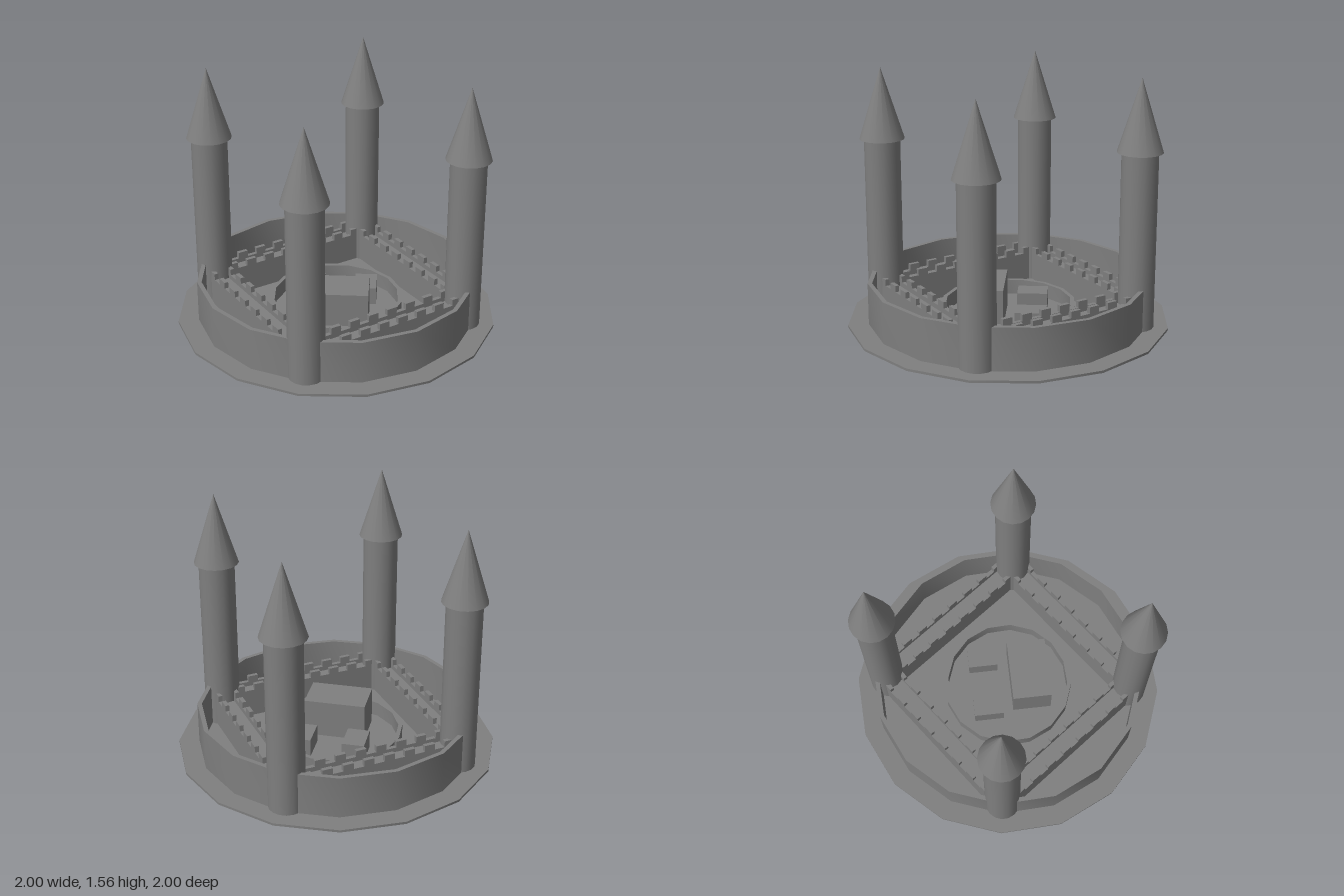
import * as THREE from 'three';
import { toCreasedNormals } from 'three/addons/utils/BufferGeometryUtils.js';

const SIDES = 16;
const FLOOR = 0.015;
const TOWER = 0.565; // offset of towers and wall lines from the centre

export function createModel() {
  const castle = new THREE.Group();
  castle.name = 'castle';
  const material = new THREE.MeshStandardMaterial({ color: 0x7f7f7f });

  const add = (parent, name, geometry, x = 0, y = 0, z = 0) => {
    const mesh = new THREE.Mesh(geometry, material);
    mesh.name = name;
    mesh.position.set(x, y, z);
    parent.add(mesh);
    return mesh;
  };

  // Hollow ring wall, softly rounded round its girth with crisp rims
  const ring = (outer, inner, top) => {
    const profile = [[outer, 0], [outer, top], [inner, top], [inner, 0]]
      .map(([r, y]) => new THREE.Vector2(r, y));
    return toCreasedNormals(new THREE.LatheGeometry(profile, SIDES), 0.6);
  };

  // Ground plate and the two ring walls
  add(castle, 'ground', new THREE.CylinderGeometry(1, 1, FLOOR, SIDES), 0, FLOOR / 2, 0);
  add(castle, 'outerWall', ring(0.873, 0.845, 0.28));
  add(castle, 'courtyardWall', ring(0.42, 0.394, 0.11));

  // Corner towers with pointed roofs
  const shaft = new THREE.CylinderGeometry(0.112, 0.112, 1.115, SIDES);
  const roof = new THREE.ConeGeometry(0.14, 0.445, SIDES);
  for (const sx of [-1, 1]) {
    for (const sz of [-1, 1]) {
      const tower = new THREE.Group();
      tower.name = 'tower';
      tower.position.set(sx * TOWER, 0, sz * TOWER);
      add(tower, 'towerShaft', shaft, 0, 0.5575, 0);
      add(tower, 'towerRoof', roof, 0, 1.3375, 0);
      castle.add(tower);
    }
  }

  // Crenellated parapet outline, extruded to a thin slab
  const half = 0.5, steps = 15, step = (2 * half) / steps;
  const outline = new THREE.Shape();
  outline.moveTo(-half, 0);
  for (let i = 0; i < steps; i++) {
    const y = i % 2 ? 0.2 : 0.24;
    outline.lineTo(-half + i * step, y);
    outline.lineTo(-half + (i + 1) * step, y);
  }
  outline.lineTo(half, 0);
  const parapet = new THREE.ExtrudeGeometry(outline, { depth: 0.026, bevelEnabled: false });
  const walkway = new THREE.BoxGeometry(2 * half, 0.17, 0.1);

  // Four straight walls between the towers: walkway with a parapet each side
  for (let i = 0; i < 4; i++) {
    const wall = new THREE.Group();
    wall.name = 'innerWall';
    wall.rotation.y = i * Math.PI / 2;
    add(wall, 'walkway', walkway, 0, 0.085, TOWER);
    add(wall, 'outerParapet', parapet, 0, 0, TOWER + 0.044);
    add(wall, 'innerParapet', parapet, 0, 0, TOWER - 0.07);
    castle.add(wall);
  }

  // Courtyard buildings: x, z, width, height, depth
  const buildings = [
    ['hall', -0.07, 0.125, 0.39, 0.255, 0.25],
    ['backHouse', -0.04, -0.21, 0.14, 0.13, 0.19],
    ['sideHouse', 0.235, -0.015, 0.14, 0.13, 0.19],
  ];
  for (const [name, x, z, w, h, d] of buildings) {
    add(castle, name, new THREE.BoxGeometry(w, h, d), x, h / 2, z).rotation.y = -0.63;
  }

  return castle;
}
